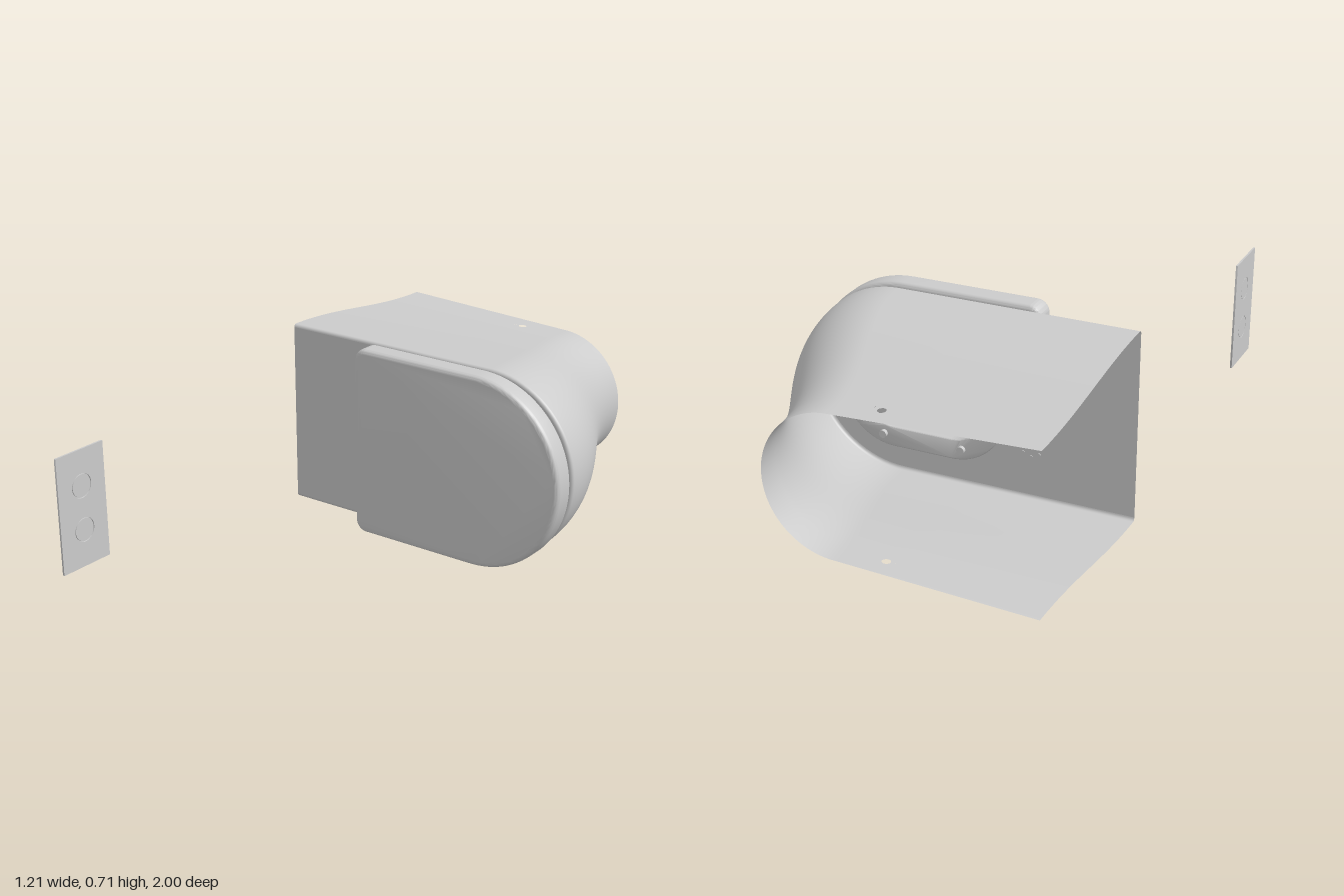
import * as THREE from 'three';
import { mergeVertices, toCreasedNormals } from 'three/addons/utils/BufferGeometryUtils.js';

const mat = new THREE.MeshStandardMaterial({ color: 0xcccccc, side: THREE.DoubleSide });
const LEFT = -0.607, FRONT = -0.22, MID = 0.355, FILLET = 0.012;

// Easing from the front rim (0) to the back rim (1)
const ease = z => (1 - Math.cos(Math.PI * (FRONT - z) / (1 + FRONT))) / 2;
const mix = THREE.MathUtils.lerp;

// Point on the duct: straight walls run along x, a half round closes the +x end.
// p is { x, side } on a wall or { angle } on the round end.
function ductPoint(p, z, inset = 0) {
  const t = ease(z);
  const hArc = mix(0.345, 0.252, t) - inset, hEdge = mix(0.345, 0.28, t) - inset;
  const xMax = mix(0.6, 0.335, t) - inset, xArc = xMax - hArc;
  if (p.angle !== undefined)
    return new THREE.Vector3(xArc + hArc * Math.cos(p.angle), MID + hArc * Math.sin(p.angle), z);
  const h = mix(hEdge, hArc, (p.x - LEFT) / (xArc - LEFT));
  return new THREE.Vector3(p.x, MID + p.side * h, z);
}

// Thin curved duct with a small round hole in the top and bottom walls
function ductGeometry() {
  const xs = [LEFT, -0.35, -0.085, -0.025], cols = [];
  xs.forEach(x => cols.push({ x, side: 1 }));
  for (let i = 0; i <= 40; i++) cols.push({ angle: Math.PI * (0.5 - i / 40) });
  [...xs].reverse().forEach(x => cols.push({ x, side: -1 }));
  const rows = [];
  for (let i = 0; i <= 5; i++) {
    const a = (i / 5) * Math.PI / 2;
    rows.push({ z: FRONT - FILLET * (1 - Math.cos(a)), inset: FILLET * (1 - Math.sin(a)) });
  }
  for (let i = 1; i <= 24; i++) rows.push({ z: mix(FRONT - FILLET, -0.895, i / 24), inset: 0 });
  rows.push({ z: -0.955, inset: 0 }, { z: -1, inset: 0 });

  const pos = [];
  const quad = (a, b, c, d) => [a, b, c, a, c, d].forEach(v => pos.push(v.x, v.y, v.z));
  for (let r = 0; r < rows.length - 1; r++) {
    for (let c = 0; c < cols.length - 1; c++) {
      const A = rows[r], B = rows[r + 1];
      const holed = B.z === -0.955 && (c === 2 || c === cols.length - 4);
      if (!holed) {
        quad(ductPoint(cols[c], A.z, A.inset), ductPoint(cols[c + 1], A.z, A.inset),
          ductPoint(cols[c + 1], B.z, B.inset), ductPoint(cols[c], B.z, B.inset));
        continue;
      }
      // Square cell blended into a circle
      const side = cols[c].side, n = 24;
      const at = (k, square) => {
        const a = (side * k / n) * Math.PI * 2, cx = Math.cos(a), cz = Math.sin(a);
        const rad = square ? 0.03 / Math.max(Math.abs(cx), Math.abs(cz)) : 0.015;
        return ductPoint({ x: -0.055 + rad * cx, side }, -0.925 + rad * cz);
      };
      for (let k = 0; k < n; k++) quad(at(k, true), at(k, false), at(k + 1, false), at(k + 1, true));
    }
  }
  const g = new THREE.BufferGeometry();
  g.setAttribute('position', new THREE.Float32BufferAttribute(pos, 3));
  const merged = mergeVertices(g, 1e-5);
  merged.computeVertexNormals();
  return merged;
}

// D outline: square-ish corners at x0, half round ending at x1
function dShape(x0, x1, y0, y1, r) {
  const h = (y1 - y0) / 2, s = new THREE.Shape();
  s.moveTo(x0 + r, y0);
  s.lineTo(x1 - h, y0);
  s.absarc(x1 - h, y0 + h, h, -Math.PI / 2, Math.PI / 2, false);
  s.lineTo(x0 + r, y1);
  if (r > 0) s.absarc(x0 + r, y1 - r, r, Math.PI / 2, Math.PI, false);
  s.lineTo(x0, y0 + r);
  if (r > 0) s.absarc(x0 + r, y0 + r, r, Math.PI, Math.PI * 1.5, false);
  return s;
}

function roundedRect(cx, cy, hw, hh, r) {
  const s = new THREE.Shape();
  s.absarc(cx + hw - r, cy + hh - r, r, 0, Math.PI / 2, false);
  s.absarc(cx - hw + r, cy + hh - r, r, Math.PI / 2, Math.PI, false);
  s.absarc(cx - hw + r, cy - hh + r, r, Math.PI, Math.PI * 1.5, false);
  s.absarc(cx + hw - r, cy - hh + r, r, Math.PI * 1.5, Math.PI * 2, false);
  s.closePath();
  return s;
}

function extrude(shape, depth, bevel = 0) {
  const g = new THREE.ExtrudeGeometry(shape, {
    depth: depth - 2 * bevel, curveSegments: 32, bevelEnabled: bevel > 0,
    bevelSize: bevel, bevelThickness: bevel, bevelOffset: -bevel, bevelSegments: 5
  });
  g.translate(0, 0, bevel);
  return toCreasedNormals(g, 0.6);
}

export function createModel() {
  const group = new THREE.Group();
  const add = (name, geometry, x = 0, y = 0, z = 0, parent = group) => {
    const m = new THREE.Mesh(geometry, mat);
    m.name = name;
    m.position.set(x, y, z);
    parent.add(m);
    return m;
  };
  const disc = (r, depth) => new THREE.CylinderGeometry(r, r, depth, 32).rotateX(Math.PI / 2);

  add('ductShell', ductGeometry());

  // Front wall with the opening behind the door
  const wall = dShape(LEFT, 0.6 - FILLET, 0.01 + FILLET, 0.7 - FILLET, 0);
  wall.holes.push(roundedRect(0.17, MID, 0.25, 0.18, 0.14));
  add('frontWall', new THREE.ShapeGeometry(wall, 32), 0, 0, FRONT);

  // Door
  add('door', extrude(dShape(-0.252, 0.605, 0, 0.706, 0.045), 0.085, 0.018), 0, 0, -0.2);

  // Frame around the opening, with bolts
  const frame = roundedRect(0.17, MID, 0.31, 0.25, 0.2);
  frame.holes.push(roundedRect(0.17, MID, 0.245, 0.175, 0.14));
  add('openingFrame', extrude(frame, 0.034, 0.006), 0, 0, -0.242);
  for (const sx of [-1, 1]) for (const sy of [-1, 1])
    add('frameBolt', disc(0.014, 0.016), 0.17 + sx * 0.15, MID + sy * 0.205, -0.248);

  // Hinge discs, each with a pin and a ring of small rivets inside
  for (const y of [0.21, 0.5]) {
    const hinge = new THREE.Group();
    hinge.name = 'hinge';
    hinge.position.set(-0.23, y, 0);
    group.add(hinge);
    add('hingeDisc', disc(0.046, 0.018), 0, 0, -0.204, hinge);
    add('hingePin', disc(0.012, 0.006), 0, 0, -0.222, hinge);
    for (let i = 0; i < 8; i++) {
      const a = i * Math.PI / 4;
      add('hingeRivet', disc(0.005, 0.004), 0.042 * Math.cos(a), 0.042 * Math.sin(a), -0.221, hinge);
    }
  }

  // Separate switch plate with two round buttons, standing in the side plane
  const panel = new THREE.Group();
  panel.name = 'switchPlate';
  panel.position.set(LEFT, MID, 0.895);
  panel.rotation.y = Math.PI / 2;
  group.add(panel);
  const plate = roundedRect(0, 0, 0.105, 0.207, 0.002);
  for (const y of [-0.077, 0.08]) {
    plate.holes.push(new THREE.Path().absarc(0, y, 0.043, 0, Math.PI * 2, true));
    add('button', disc(0.04, 0.006), 0, y, 0.0035, panel);
    add('buttonBacking', new THREE.CircleGeometry(0.043, 32), 0, y, 0.002, panel);
  }
  add('plate', extrude(plate, 0.007), 0, 0, 0, panel);

  return group;
}
